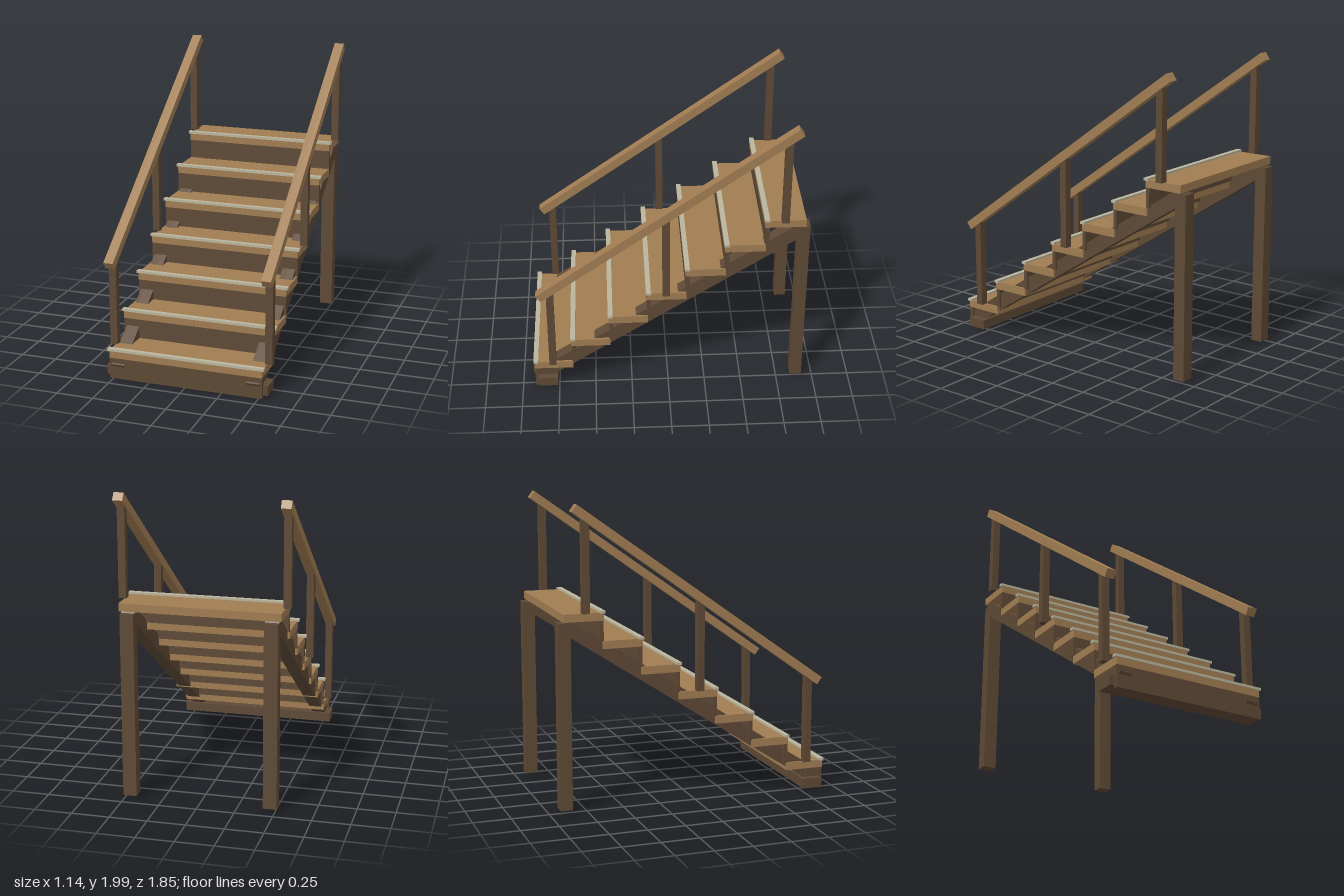
import * as THREE from 'three';

export function createModel() {
  const model = new THREE.Group();
  model.name = 'staircase';

  const paint = (color) => new THREE.MeshStandardMaterial({ color, flatShading: true });
  const lightWood = paint(0xa07c52);
  const darkWood = paint(0x5e4935);
  const metal = paint(0xbab49c);

  // Box from its limits on each axis: [min, max]
  function block(name, material, [x0, x1], [y0, y1], [z0, z1]) {
    const mesh = new THREE.Mesh(new THREE.BoxGeometry(x1 - x0, y1 - y0, z1 - z0), material);
    mesh.position.set((x0 + x1) / 2, (y0 + y1) / 2, (z0 + z1) / 2);
    mesh.name = name;
    model.add(mesh);
  }

  // Sloping beam that climbs towards the back
  function beam(name, material, width, thickness, length, x, y, z, angle) {
    const mesh = new THREE.Mesh(new THREE.BoxGeometry(width, thickness, length), material);
    mesh.position.set(x, y, z);
    mesh.rotation.x = angle;
    mesh.name = name;
    model.add(mesh);
  }

  // Steps: tread, riser below it and nosing strip on its front edge
  const rise = 0.1843, run = 0.2577, half = 0.525;
  for (let i = 0; i < 7; i++) {
    const top = 0.196 + rise * i;
    const front = 0.918 - run * i;
    const riserBottom = i === 0 ? 0 : top - rise;
    block('tread', lightWood, [-half, half], [top - 0.052, top], [front - 0.267, front]);
    block('riser', darkWood, [-half, half], [riserBottom, top - 0.052], [front - 0.03, front - 0.004]);
    block('nosing', metal, [-0.537, 0.537], [top - 0.004, top + 0.013], [front - 0.028, front + 0.005]);
  }

  // Cross beam on the ground behind the first riser
  block('baseBeam', darkWood, [-0.555, 0.555], [0.016, 0.08], [0.76, 0.89]);

  // Stringers, legs and handrails, mirrored on both sides
  const railAngle = 0.6215;
  for (const side of [-1, 1]) {
    const span = (a, b) => (side > 0 ? [a, b] : [-b, -a]);
    beam('stringer', darkWood, 0.09, 0.095, 2.142, side * 0.465, 0.6485, 0.0025, 0.5795);
    block('backLeg', darkWood, span(0.42, 0.51), [0.016, 1.24], [-0.925, -0.845]);
    beam('handrail', lightWood, 0.066, 0.057, 2.081, side * 0.535, 1.365, 0.0185, railAngle);

    // Posts stand on treads 1, 4 and 7 and end inside the rail
    [0.788, 0.016, -0.755].forEach((z, i) => {
      const railY = 1.365 + Math.tan(railAngle) * (0.0185 - z);
      block('railPost', darkWood, span(0.511, 0.561), [0.198 + 3 * rise * i, railY], [z - 0.024, z + 0.024]);
    });
  }

  return model;
}
